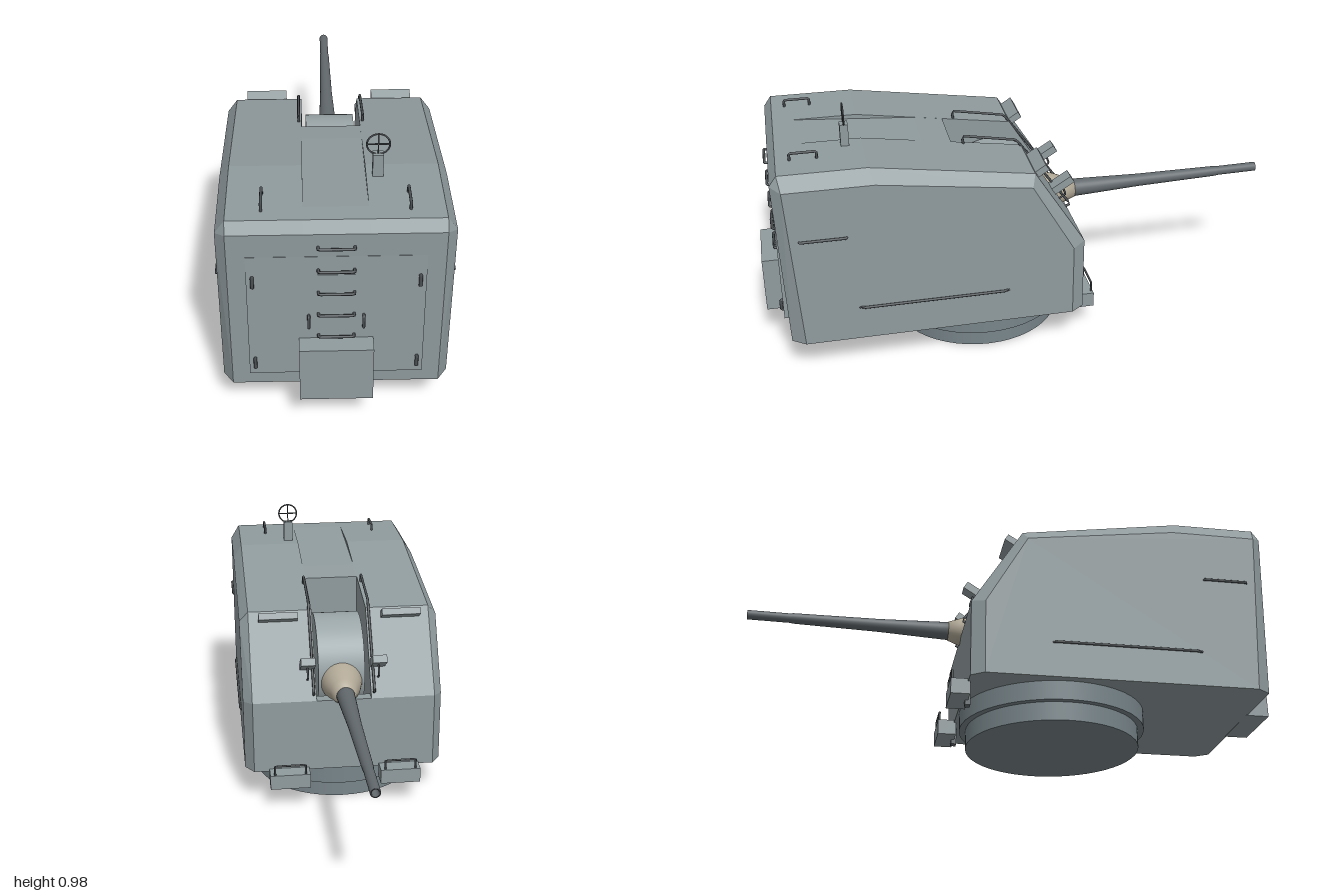
import * as THREE from 'three';
import { ConvexGeometry } from 'three/addons/geometries/ConvexGeometry.js';

const paint = (color, flatShading = false) => new THREE.MeshStandardMaterial({ color, flatShading });
const V = (x, y, z) => new THREE.Vector3(x, y, z);

export function createModel() {
  const root = new THREE.Group();
  const hull = paint(0x909b9e, true), base = paint(0x78858a), steel = paint(0x62696d);
  const dark = paint(0x4b5053), canvas = paint(0xb3aa98), drumPaint = paint(0x9aa5a8);

  const add = (name, geometry, material, x = 0, y = 0, z = 0) => {
    const mesh = new THREE.Mesh(geometry, material);
    mesh.name = name;
    mesh.position.set(x, y, z);
    root.add(mesh);
    return mesh;
  };
  const box = (name, w, h, d, x, y, z, material = hull) =>
    add(name, new THREE.BoxGeometry(w, h, d), material, x, y, z);

  // Bent rod through a few points, with straight segments and capped ends
  const rod = (name, points, r = 0.005) => {
    const path = new THREE.CurvePath();
    for (let i = 1; i < points.length; i++) path.add(new THREE.LineCurve3(points[i - 1], points[i]));
    add(name, new THREE.TubeGeometry(path, (points.length - 1) * 8, r, 8), dark);
    for (const p of [points[0], points[points.length - 1]])
      add(name + 'End', new THREE.SphereGeometry(r, 8, 6), dark, p.x, p.y, p.z);
  };
  // Grab handle between two feet, standing off along a vector
  const handle = (name, a, b, off, r) =>
    rod(name, [a, a.clone().add(off), b.clone().add(off), b], r);

  // Turntable
  add('lowerRing', new THREE.CylinderGeometry(0.327, 0.327, 0.07, 48), base, 0, 0.035, 0.172);
  add('upperRing', new THREE.CylinderGeometry(0.351, 0.351, 0.072, 48), base, 0, 0.105, 0.172);

  // Armoured side blocks with chamfered outer edges; points are [z, y]
  const full = [[0.915, 0.14], [0.937, 0.78], [0.91, 0.818], [0.6, 0.818], [0.005, 0.73], [-0.185, 0.43], [-0.185, 0.14]];
  const inset = [[0.865, 0.14], [0.9, 0.765], [0.58, 0.765], [0.02, 0.69], [-0.137, 0.42], [-0.137, 0.14]];
  for (const s of [1, -1]) {
    const pts = [];
    for (const [z, y] of full) pts.push(V(s * 0.105, y, z), V(s * 0.35, y, z));
    for (const [z, y] of inset) pts.push(V(s * 0.384, y, z));
    add(s > 0 ? 'leftShield' : 'rightShield', new ConvexGeometry(pts), hull);
  }

  // Middle of the shield: sunken roof strip and open gun slot
  const middle = new THREE.Shape([[0.915, 0.14], [0.937, 0.78], [0.91, 0.818], [0.84, 0.818], [0.38, 0.785],
    [0.27, 0.769], [0.27, 0.3], [-0.13, 0.3], [-0.14, 0.43], [-0.185, 0.43], [-0.185, 0.14]]
    .map(([z, y]) => new THREE.Vector2(-z, y)));
  const middleGeometry = new THREE.ExtrudeGeometry(middle, { depth: 0.21, bevelEnabled: false });
  middleGeometry.translate(0, 0, -0.105).rotateY(Math.PI / 2);
  add('middleShield', middleGeometry, hull);

  // Gun cradle drum in the slot
  const drum = new THREE.CylinderGeometry(0.187, 0.187, 0.18, 48);
  add('cradleDrum', drum.rotateZ(Math.PI / 2), drumPaint, 0, 0.49, 0.083);

  // Canvas boot and tapered barrel, turned about the bore
  const gun = new THREE.Group();
  gun.name = 'gun';
  gun.position.y = 0.463;
  const turned = (name, profile, material) => {
    const geometry = new THREE.LatheGeometry(profile.map(p => new THREE.Vector2(...p)), 32);
    const mesh = new THREE.Mesh(geometry.rotateX(-Math.PI / 2), material);
    mesh.name = name;
    gun.add(mesh);
  };
  turned('canvasBoot', [[0, 0.04], [0.083, 0.06], [0.08, 0.1], [0.068, 0.15], [0.052, 0.19], [0.037, 0.232], [0, 0.232]], canvas);
  turned('barrel', [[0, 0.15], [0.036, 0.2], [0.034, 0.26], [0.025, 0.5], [0.02, 0.83], [0.018, 0.835], [0.018, 1], [0.012, 1], [0.011, 0.96], [0, 0.96]], steel);
  gun.rotation.x = 0.016;
  root.add(gun);

  // Rear door, ladder backing and locker
  box('rearDoor', 0.58, 0.49, 0.03, 0, 0.447, 0.92);
  box('ladderPlate', 0.122, 0.34, 0.03, 0, 0.45, 0.922);
  box('rearLocker', 0.245, 0.215, 0.09, 0, 0.247, 0.955);

  // Ladder rungs
  for (let i = 0; i < 5; i++) {
    const y = 0.37 + i * 0.09;
    handle('ladderRung', V(-0.058, y, 0.93), V(0.058, y, 0.93), V(0, 0, 0.02));
  }

  // Front slope frame: angle of the plate and its outward direction
  const slope = Math.atan2(0.19, 0.3), outward = V(0, 0.535, -0.845);
  const onSlope = (name, w, h, d, x, y, z) => {
    box(name, w, h, d, x, y, z).rotation.x = slope;
  };

  for (const s of [1, -1]) {
    // Door hinges and door grips
    for (const y of [0.25, 0.593])
      handle('doorHinge', V(s * 0.27, y - 0.019, 0.925), V(s * 0.27, y + 0.019, 0.925), V(0, 0, 0.017), 0.006);
    handle('doorGrip', V(s * 0.09, 0.408, 0.925), V(s * 0.09, 0.452, 0.925), V(0, 0, 0.022));

    // Roof and side grab rails
    handle('roofHandle', V(s * 0.237, 0.815, 0.765), V(s * 0.237, 0.815, 0.86), V(0, 0.029, 0));
    handle('upperSideRail', V(s * 0.382, 0.57, 0.69), V(s * 0.382, 0.57, 0.855), V(s * 0.007, 0, 0));
    handle('lowerSideRail', V(s * 0.382, 0.273, 0.11), V(s * 0.382, 0.273, 0.66), V(s * 0.007, 0, 0));

    // Rails bordering the gun slot
    const x = s * 0.116;
    rod('slotRail', [V(x, 0.76, 0.225), V(x, 0.793, 0.23), V(x, 0.757, 0.025), V(x, 0.46, -0.19), V(x, 0.45, -0.17)]);

    // Sight hoods on the sloped plate
    onSlope('upperHood', 0.15, 0.026, 0.075, s * 0.237, 0.71, -0.018);
    onSlope('sightBlock', 0.055, 0.03, 0.1, s * 0.136, 0.565, -0.142);
    const foot = V(s * 0.136, 0.5, -0.14);
    rod('sightStay', [foot, foot.clone().addScaledVector(outward, 0.03), V(s * 0.136, 0.56, -0.15)], 0.004);

    // Front footsteps with guard bars
    box('footstep', 0.155, 0.058, 0.07, s * 0.214, 0.121, -0.212);
    box('footstepBracket', 0.03, 0.07, 0.02, s * 0.214, 0.11, -0.178, steel);
    handle('footstepBar', V(s * 0.155, 0.145, -0.24), V(s * 0.273, 0.145, -0.24), V(0, 0.043, 0), 0.004);
  }

  // Roof ring sight
  box('sightPost', 0.036, 0.09, 0.03, 0.144, 0.855, 0.66);
  add('sightRing', new THREE.TorusGeometry(0.038, 0.003, 8, 32), dark, 0.144, 0.935, 0.66);
  box('sightCrossBar', 0.076, 0.004, 0.004, 0.144, 0.935, 0.66, dark);
  box('sightUprightBar', 0.004, 0.076, 0.004, 0.144, 0.935, 0.66, dark);

  return root;
}
